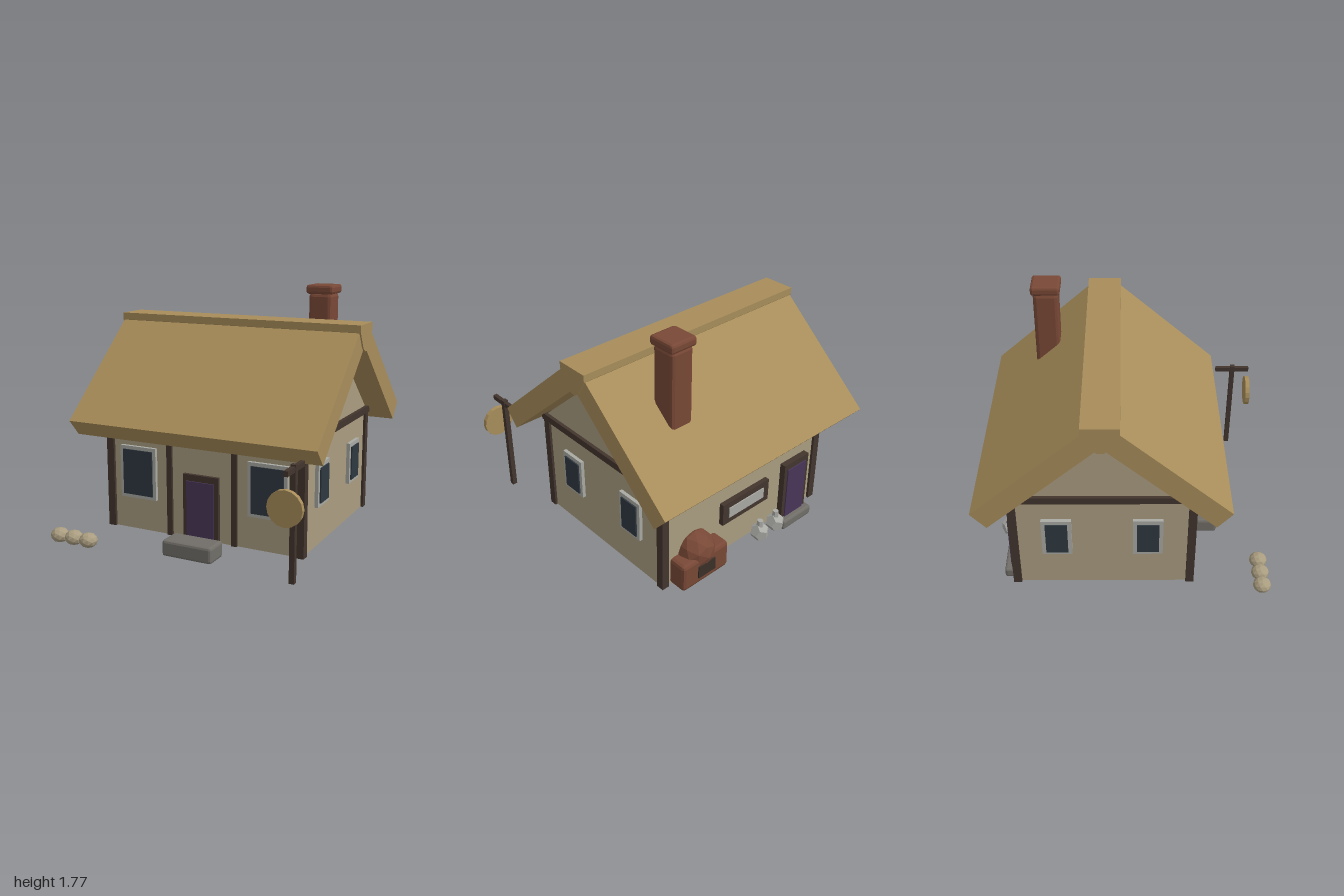
import * as THREE from 'three';
import { RoundedBoxGeometry } from 'three/addons/geometries/RoundedBoxGeometry.js';

const paint = (name, color) => {
  const m = new THREE.MeshStandardMaterial({ color, flatShading: true });
  m.name = name;
  return m;
};

export function createModel() {
  const thatch = paint('thatch', 0xa88d5a);
  const plaster = paint('plaster', 0xaa9d80);
  const timber = paint('dark timber', 0x43352e);
  const glass = paint('dark glass', 0x2f3840);
  const trim = paint('pale trim', 0xa9aaa4);
  const doorPaint = paint('purple door', 0x4a3658);
  const stone = paint('stone', 0x716e68);
  const brick = paint('brick', 0x784836);
  const soot = paint('soot', 0x3a3029);

  const model = new THREE.Group();
  model.name = 'cottage';
  const CX = -0.015, CZ = -0.155; // centre of the house

  const add = (name, geo, mat, x = 0, y = 0, z = 0) => {
    const mesh = new THREE.Mesh(geo, mat);
    mesh.name = name;
    mesh.position.set(x, y, z);
    model.add(mesh);
    return mesh;
  };
  // box given by its bounds, with an optional chamfer
  const box = (name, mat, x0, x1, y0, y1, z0, z1, chamfer = 0) => {
    const s = [x1 - x0, y1 - y0, z1 - z0];
    const geo = chamfer ? new RoundedBoxGeometry(...s, 1, chamfer) : new THREE.BoxGeometry(...s);
    return add(name, geo, mat, (x0 + x1) / 2, (y0 + y1) / 2, (z0 + z1) / 2);
  };
  // profile in the depth/height plane, extruded along x and centred at x
  const prism = (name, mat, points, length, x) => {
    const shape = new THREE.Shape(points.map(([a, b]) => new THREE.Vector2(a, b)));
    const geo = new THREE.ExtrudeGeometry(shape, { depth: length, bevelEnabled: false });
    geo.translate(0, 0, -length / 2).rotateY(Math.PI / 2);
    return add(name, geo, mat, x, 0, CZ);
  };
  const mirrored = (half) => [...half, ...half.map(([a, b]) => [-a, b]).reverse()];

  // walls, hollow and open below
  box('frontWall', plaster, -0.755, 0.725, 0.07, 0.83, 0.42, 0.45);
  box('backWall', plaster, -0.755, 0.725, 0.07, 0.83, -0.765, -0.735);
  for (const s of [-1, 1]) {
    const x = CX + s * 0.725;
    box('sideWall', plaster, x - 0.015, x + 0.015, 0.07, 0.83, -0.735, 0.42);
    prism('gable', plaster, [[-0.61, 0.85], [0.61, 0.85], [0, 1.39]], 0.03, x);
  }

  // timber frame
  for (const s of [-1, 1]) {
    const x = CX + s * 0.73;
    for (const z of [0.442, -0.755]) {
      box('cornerPost', timber, x - 0.028, x + 0.028, 0.07, 0.83, z - 0.028, z + 0.028);
    }
    box('sidePlate', timber, x - 0.035, x + 0.035, 0.81, 0.86, -0.79, 0.48);
    box('frontPost', timber, CX + s * 0.25 - 0.02, CX + s * 0.25 + 0.02, 0.07, 0.83, 0.43, 0.468);
  }
  for (const z of [0.445, -0.755]) {
    box('wallPlate', timber, -0.71, 0.68, 0.81, 0.86, z - 0.035, z + 0.035);
  }

  // thatched roof and ridge cap
  prism('roof', thatch, [
    [-0.835, 0.865], [-0.735, 0.75], [0, 1.4], [0.735, 0.75], [0.835, 0.865], [0.115, 1.5], [-0.115, 1.5],
  ], 1.84, CX);
  prism('ridgeCap', thatch, mirrored([[0.02, 1.366], [0.055, 1.39], [0.12, 1.5], [0.12, 1.55]]), 1.86, CX);

  // front windows
  for (const s of [-1, 1]) {
    const x = CX + s * 0.4975;
    box('frontWindowFrame', trim, x - 0.143, x + 0.143, 0.305, 0.68, 0.415, 0.475);
    box('frontWindowGlass', glass, x - 0.118, x + 0.118, 0.33, 0.655, 0.475, 0.483);
  }
  // side windows
  for (const s of [-1, 1]) {
    for (const z of [0.147, -0.465]) {
      const f = CX + s * 0.735, g = CX + s * 0.77;
      box('sideWindowFrame', trim, f - 0.03, f + 0.03, 0.355, 0.655, z - 0.101, z + 0.101);
      box('sideWindowGlass', glass, g - 0.005, g + 0.005, 0.38, 0.625, z - 0.074, z + 0.074);
    }
  }

  // front door and step
  box('frontDoorFrame', timber, -0.15, 0.12, 0.07, 0.535, 0.415, 0.477);
  box('frontDoor', doorPaint, -0.12, 0.09, 0.07, 0.49, 0.477, 0.486);
  box('frontStep', stone, -0.205, 0.17, 0, 0.115, 0.5, 0.68, 0.018);

  // back door, step and slot window
  box('backDoorFrame', timber, -0.635, -0.385, 0.07, 0.535, -0.81, -0.73);
  box('backDoor', doorPaint, -0.605, -0.415, 0.07, 0.49, -0.819, -0.81);
  box('backStep', stone, -0.66, -0.36, 0, 0.075, -0.86, -0.77, 0.015);
  box('slotWindowFrame', timber, -0.23, 0.215, 0.33, 0.5, -0.8, -0.74);
  box('slotWindowPane', trim, -0.175, 0.16, 0.375, 0.455, -0.808, -0.8);

  // outdoor oven
  box('ovenBase', brick, 0.25, 0.66, 0.07, 0.28, -0.895, -0.74, 0.025);
  add('ovenDome', new THREE.IcosahedronGeometry(0.14, 1), brick, 0.455, 0.27, -0.78);
  box('ovenMouth', soot, 0.38, 0.53, 0.125, 0.22, -0.904, -0.89);

  // chimney
  box('chimneyShaft', brick, 0.365, 0.54, 1.12, 1.71, -0.645, -0.47, 0.025);
  box('chimneyCap', brick, 0.35, 0.555, 1.705, 1.77, -0.66, -0.455, 0.018);

  // jars by the back door
  for (const x of [-0.11, -0.27]) {
    add('jar', new THREE.DodecahedronGeometry(0.07), trim, x, 0.13, -0.85);
    add('jarNeck', new THREE.CylinderGeometry(0.022, 0.026, 0.05, 6), trim, x, 0.205, -0.85);
  }

  // round sacks in front
  for (const x of [-0.855, -0.738, -0.62]) {
    add('sack', new THREE.IcosahedronGeometry(0.063, 1), plaster, x, 0.13, 0.935).scale.y = 0.82;
  }

  // hanging sign
  box('signPost', timber, 0.807, 0.842, 0.07, 0.82, 0.83, 0.865);
  box('signArm', timber, 0.81, 0.839, 0.775, 0.81, 0.715, 0.975);
  const disc = new THREE.CylinderGeometry(0.115, 0.115, 0.032, 16).rotateX(Math.PI / 2);
  add('signDisc', disc, thatch, 0.825, 0.585, 0.974);

  return model;
}
